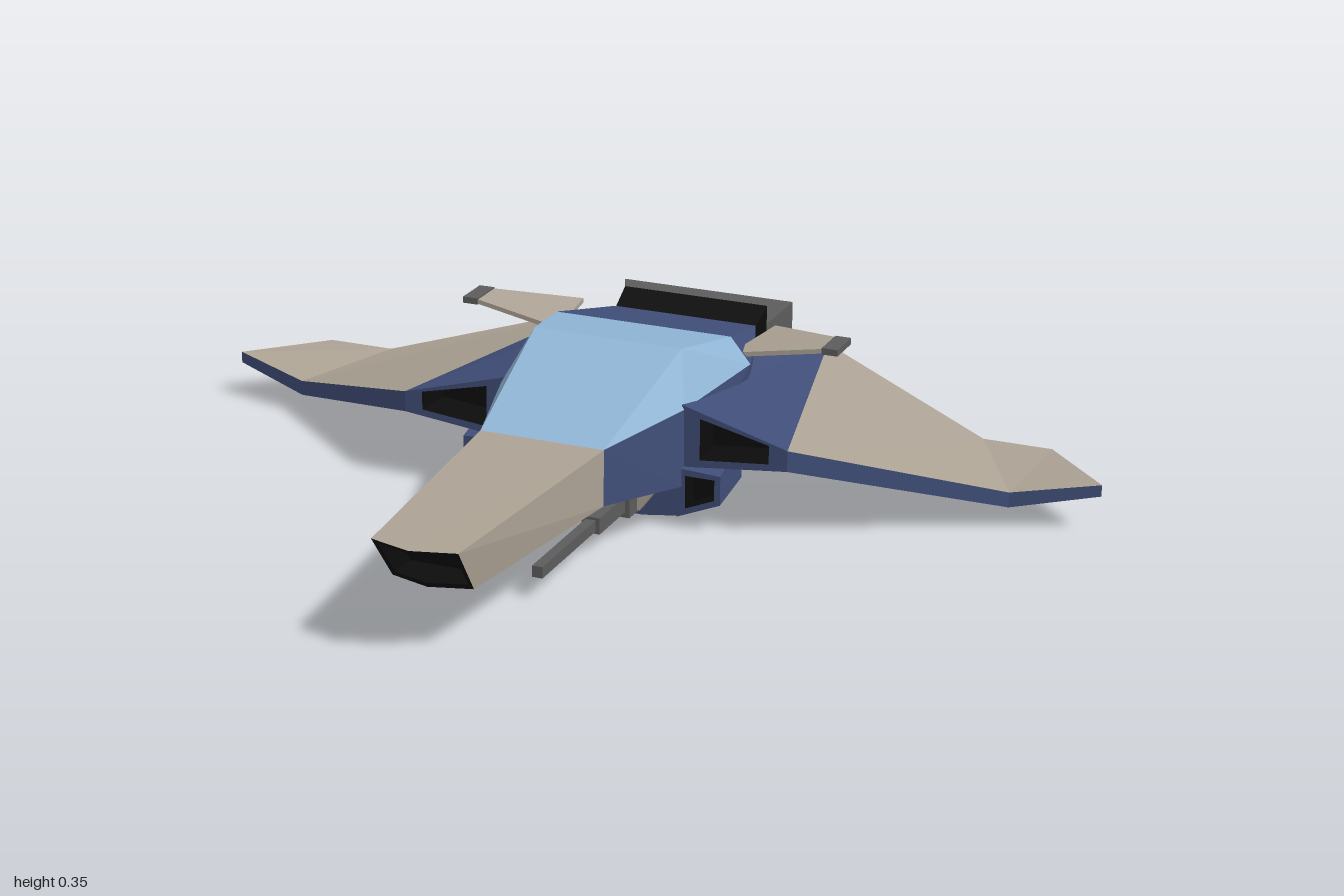
import * as THREE from 'three';
import { ConvexGeometry } from 'three/addons/geometries/ConvexGeometry.js';

const BLUE = 0x404e78, BEIGE = 0xaca294, GLASS = 0x90b5d6, DARK = 0x0c0c0c, GREY = 0x5c5c5c, GLOW = 0x2468b4;

export function createModel() {
  const model = new THREE.Group();

  const add = (name, color, geometry, side = THREE.FrontSide) => {
    const mesh = new THREE.Mesh(geometry, new THREE.MeshStandardMaterial({ color, flatShading: true, side }));
    mesh.name = name;
    model.add(mesh);
    return mesh;
  };

  // Mesh from flat polygons; s = -1 mirrors it to the other side
  const faces = (name, color, polys, s = 1) => {
    const pos = [];
    for (const poly of polys) {
      const p = poly.map(([x, y, z]) => [x * s, y, z]);
      if (s < 0) p.reverse();
      for (let i = 1; i < p.length - 1; i++) pos.push(...p[0], ...p[i], ...p[i + 1]);
    }
    const g = new THREE.BufferGeometry();
    g.setAttribute('position', new THREE.Float32BufferAttribute(pos, 3));
    g.computeVertexNormals();
    return add(name, color, g, THREE.DoubleSide);
  };

  // Quads joining a row of cross-sections
  const loft = (rings) => {
    const quads = [];
    for (let k = 0; k < rings.length - 1; k++) {
      const a = rings[k], b = rings[k + 1];
      a.forEach((p, i) => {
        const j = (i + 1) % a.length;
        quads.push([p, a[j], b[j], b[i]]);
      });
    }
    return quads;
  };

  // Convex solid from points, and the same with every point on both sides
  const solid = (name, color, pts) => add(name, color, new ConvexGeometry(pts.map(p => new THREE.Vector3(...p))));
  const symmetric = (name, color, pts) => solid(name, color, pts.flatMap(([x, y, z]) => [[x, y, z], [-x, y, z]]));
  const box = (name, color, w, h, d, x, y, z) => add(name, color, new THREE.BoxGeometry(w, h, d)).position.set(x, y, z);
  const rect = (w, y0, y1, z) => [[-w, y0, z], [w, y0, z], [w, y1, z], [-w, y1, z]];

  // Nose with a pointed, recessed dark mouth
  const noseRing = (w0, w1, y0, y1, z0, z1, peak) => [
    [-w0, y0, z0], [0, y0, z0 + peak], [w0, y0, z0], [w1, y1, z1], [0, y1, z1 + peak], [-w1, y1, z1]];
  const noseFront = noseRing(0.085, 0.09, 0.135, 0.237, 0.645, 0.72, 0.025);
  const mouth = noseRing(0.076, 0.08, 0.145, 0.228, 0.65, 0.714, 0.025);
  const throat = noseRing(0.07, 0.075, 0.15, 0.222, 0.6, 0.64, 0);
  faces('nose', BEIGE, loft([noseRing(0.135, 0.135, 0.125, 0.245, 0.15, 0.15, 0), noseFront]));
  faces('noseMouth', DARK, [...loft([noseFront, mouth, throat]), throat]);

  // Fuselage, rear deck and canopy
  symmetric('cockpitHull', BLUE, [
    [0.135, 0.125, 0.15], [0.135, 0.245, 0.15], [0.205, 0.09, -0.09], [0.205, 0.255, -0.1]]);
  symmetric('midHull', BLUE, [
    [0.205, 0.09, -0.09], [0.205, 0.255, -0.1], [0.245, 0.27, -0.37], [0.22, 0.1, -0.37]]);
  symmetric('rearDeck', BLUE, [
    [0.2, 0.325, -0.37], [0.245, 0.27, -0.37], [0.22, 0.1, -0.37], [0.2, 0.25, -0.52],
    [0.165, 0.268, -0.61], [0.165, 0.1, -0.61]]);
  symmetric('canopy', GLASS, [
    [0.135, 0.245, 0.15], [0.205, 0.255, -0.1], [0.245, 0.27, -0.37], [0.165, 0.355, -0.18], [0.2, 0.325, -0.37]]);

  // Belly
  symmetric('chin', BLUE, [
    [0.2, 0.12, -0.09], [0.2, 0.025, -0.09], [0.12, 0.014, -0.09],
    [0.2, 0.12, -0.22], [0.2, 0.025, -0.2], [0.14, 0, -0.2]]);
  symmetric('bellyRamp', BEIGE, [
    [0.14, 0.001, -0.2], [0.22, 0.05, -0.22], [0.22, 0.13, -0.22], [0.16, 0.09, -0.61], [0.16, 0.14, -0.61]]);

  // Engine collar and hollow flared exhaust
  symmetric('engineCollar', DARK, [
    [0.165, 0.265, -0.61], [0.165, 0.1, -0.61], [0.168, 0.295, -0.67], [0.168, 0.08, -0.67]]);
  const glow = rect(0.14, 0.155, 0.215, -0.69);
  faces('exhaust', GREY, loft([
    glow, rect(0.16, 0.13, 0.24, -0.745), rect(0.2, 0.085, 0.285, -0.745), rect(0.165, 0.11, 0.25, -0.67)]));
  faces('exhaustGlow', GLOW, [[...glow].reverse()]);

  for (const s of [1, -1]) {
    const side = s > 0 ? 'left' : 'right';

    // Wing root with an open air intake in its front
    const rootFront = [[0.2, 0.13, -0.1], [0.43, 0.155, -0.1], [0.43, 0.2, -0.1], [0.2, 0.265, -0.1]];
    const rootRear = [[0.205, 0.15, -0.52], [0.285, 0.185, -0.745], [0.285, 0.2, -0.745], [0.205, 0.25, -0.52]];
    const lip = [[0.24, 0.15, -0.1], [0.39, 0.165, -0.1], [0.39, 0.205, -0.1], [0.24, 0.24, -0.1]];
    const deep = lip.map(([x, y]) => [x * 0.95 + 0.01, y * 0.9 + 0.02, -0.18]);
    faces(side + 'WingRoot', BLUE, [...loft([rootRear, rootFront, lip]), [...rootRear].reverse()], s);
    faces(side + 'Intake', DARK, [...loft([lip, deep]), deep], s);

    // Drooped outer wing with an upturned tip: beige skins, blue rim
    const top = [[0.43, 0.2, -0.1], [0.82, 0.078, -0.36], [1, 0.105, -0.41],
      [0.85, 0.105, -0.565], [0.7, 0.105, -0.565], [0.285, 0.2, -0.745]];
    const drop = [0.045, 0.033, 0.025, 0.025, 0.025, 0.015];
    const under = top.map(([x, y, z], i) => [x, y - drop[i], z]);
    const panels = (r) => [[r[0], r[1], r[4], r[5]], [r[1], r[2], r[3], r[4]]];
    faces(side + 'WingRim', BLUE, loft([under, top]), s);
    faces(side + 'WingSkin', BEIGE, [...panels(top), ...panels(under).map(p => p.reverse())], s);

    // Small lower intake pod
    const podFront = [[0.195, 0.022, -0.09], [0.29, 0.062, -0.09], [0.29, 0.125, -0.09], [0.195, 0.13, -0.09]];
    const podRear = [[0.195, 0.03, -0.22], [0.285, 0.075, -0.225], [0.285, 0.16, -0.225], [0.195, 0.16, -0.22]];
    const podLip = [[0.213, 0.043, -0.09], [0.277, 0.07, -0.09], [0.277, 0.115, -0.09], [0.213, 0.115, -0.09]];
    const podDeep = podLip.map(([x, y]) => [x, y, -0.14]);
    faces(side + 'LowerPod', BLUE, [...loft([podRear, podFront, podLip]), [...podRear].reverse()], s);
    faces(side + 'LowerIntake', DARK, [...loft([podLip, podDeep]), podDeep], s);

    // Swept upper fin with a tip block
    const fin = [[0.2, 0.278, -0.375], [0.24, 0.28, -0.39], [0.225, 0.28, -0.57], [0.4, 0.31, -0.39], [0.4, 0.31, -0.47]];
    solid(side + 'Fin', BEIGE, fin.flatMap(([x, y, z]) => [[x * s, y, z], [x * s, y + 0.01, z]]));
    box(side + 'FinTip', GREY, 0.035, 0.014, 0.085, 0.413 * s, 0.315, -0.43);

    // Cannon under the nose
    const frame = [[0.035, 0.085], [0.045, 0.04], [0.12, 0.03], [0.16, 0.085]];
    solid(side + 'GunMount', BEIGE, frame.flatMap(([x, y]) => [[x * s, y, -0.07], [x * s, y, -0.1]]));
    box(side + 'GunBlock', GREY, 0.06, 0.055, 0.07, 0.085 * s, 0.055, -0.065);
    box(side + 'GunReceiver', GREY, 0.04, 0.035, 0.13, 0.085 * s, 0.057, 0.035);
    box(side + 'GunBarrel', GREY, 0.022, 0.024, 0.26, 0.085 * s, 0.057, 0.23);
  }
  return model;
}
